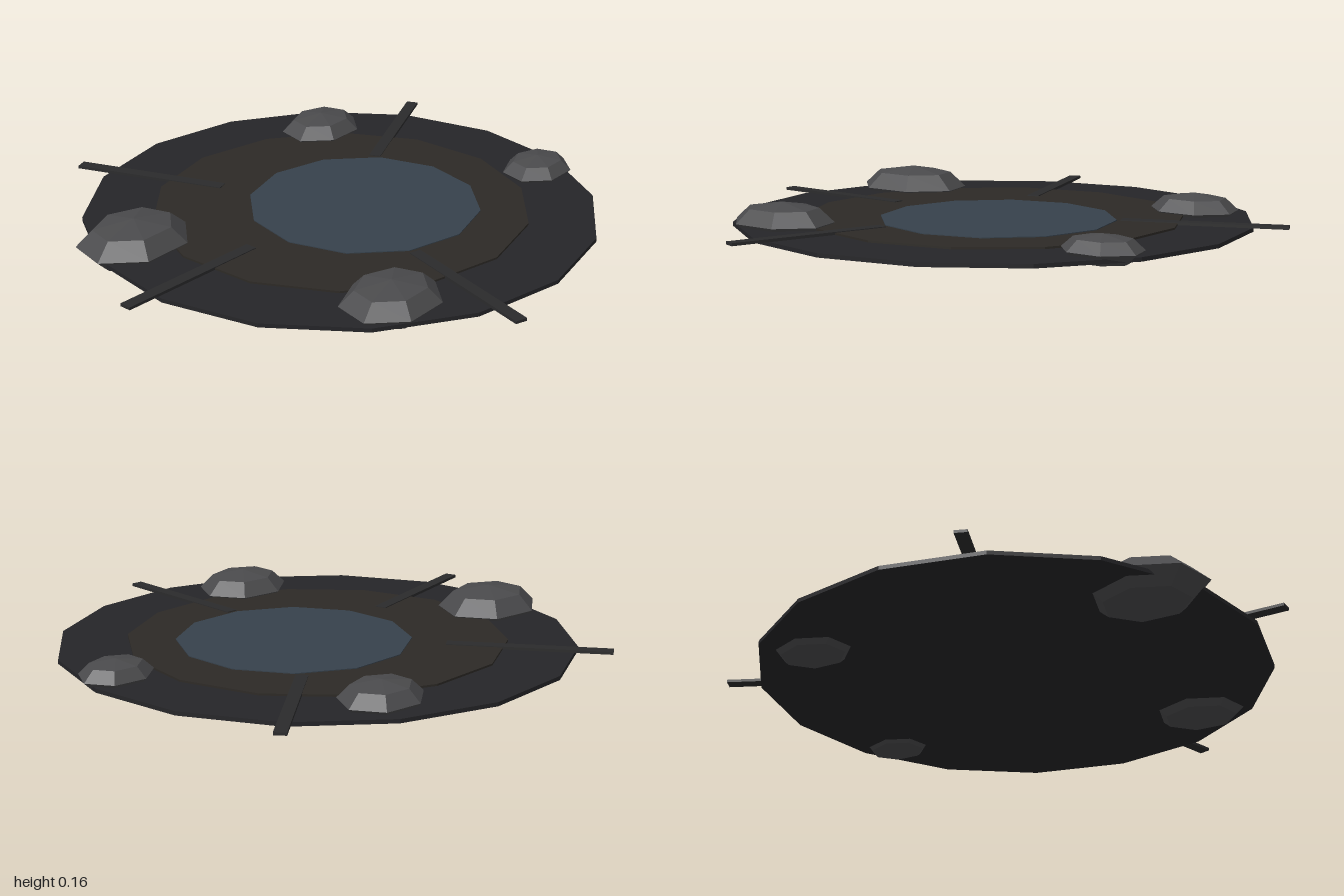
import * as THREE from 'three';

const CENTER = { x: 0.035, z: -0.005 };

function add(parent, name, geometry, color) {
  const material = new THREE.MeshStandardMaterial({ color, flatShading: true });
  const mesh = new THREE.Mesh(geometry, material);
  mesh.name = name;
  parent.add(mesh);
  return mesh;
}

// Thin flat polygon lying between two heights
function addDisc(parent, name, radius, sides, bottom, top, x, z, color) {
  const disc = add(parent, name, new THREE.CylinderGeometry(radius, radius, top - bottom, sides), color);
  disc.position.set(x, (bottom + top) / 2, z);
}

export function createModel() {
  const model = new THREE.Group();
  model.name = 'scorchedCrater';

  // Stacked ground layers
  addDisc(model, 'outerGround', 0.912, 16, 0.053, 0.067, CENTER.x, CENTER.z, 0x252528);
  addDisc(model, 'innerGround', 0.67, 14, 0.06, 0.074, CENTER.x, CENTER.z, 0x2d2a26);
  addDisc(model, 'pool', 0.414, 12, 0.065, 0.077, 0.096, 0.053, 0x36414c);

  // Narrow strips radiating outward over the ground
  const cracks = new THREE.Group();
  cracks.name = 'cracks';
  cracks.position.set(CENTER.x, 0.072, CENTER.z);
  model.add(cracks);
  for (const degrees of [-22.7, 108, 182.4, 251.2]) {
    const angle = THREE.MathUtils.degToRad(degrees);
    const crack = add(cracks, 'crack', new THREE.BoxGeometry(0.575, 0.01, 0.043), 0x2b2b2c);
    crack.position.set(Math.cos(angle) * 0.745, 0, Math.sin(angle) * 0.745);
    crack.rotation.y = -angle;
  }

  // Flattened seven-sided rocks around the rim: x, z, radius
  const rocks = [
    [-0.636, -0.366, 0.216],
    [0.545, -0.517, 0.167],
    [0.741, 0.359, 0.145],
    [-0.43, 0.578, 0.192],
  ];
  for (const [x, z, r] of rocks) {
    const geometry = new THREE.SphereGeometry(1, 7, 4).rotateY(-Math.PI / 2);
    geometry.scale(r, r * 0.36, r * 0.82);
    add(model, 'rock', geometry, 0x4a4a4c).position.set(x, 0.078, z);
  }

  return model;
}
